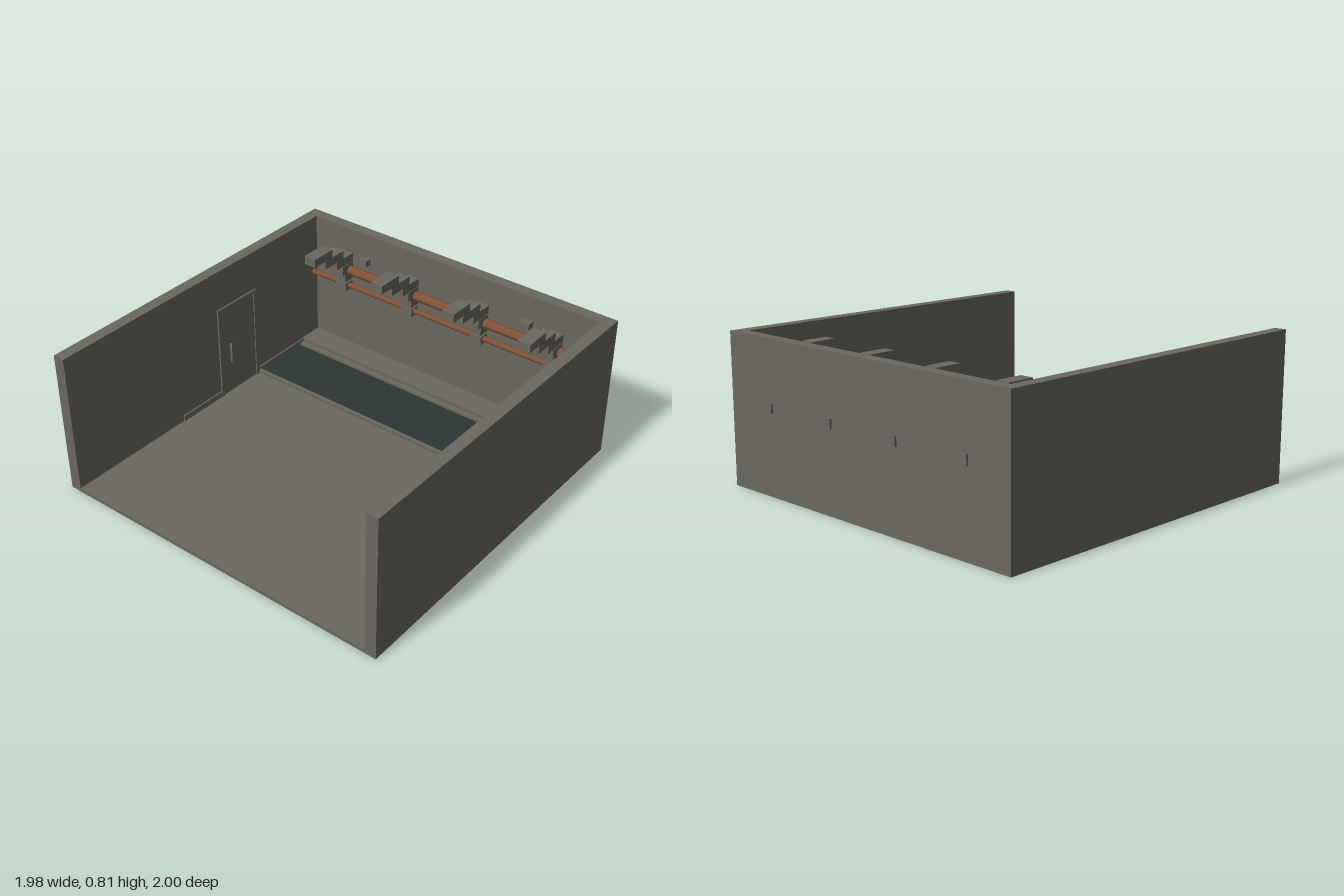
import * as THREE from 'three';

export function createModel() {
  const model = new THREE.Group();
  const mat = (name, color) => {
    const m = new THREE.MeshStandardMaterial({ color });
    m.name = name;
    return m;
  };
  const stone = mat('stone', 0x6b685f);
  const copper = mat('copper', 0x7f5238);
  const water = mat('darkWater', 0x2b3635);

  // Box given by its extents on each axis
  const box = (name, [x0, x1], [y0, y1], [z0, z1], material = stone, parent = model) => {
    const mesh = new THREE.Mesh(new THREE.BoxGeometry(x1 - x0, y1 - y0, z1 - z0), material);
    mesh.position.set((x0 + x1) / 2, (y0 + y1) / 2, (z0 + z1) / 2);
    mesh.name = name;
    parent.add(mesh);
    return mesh;
  };
  // The same box on the left (+1) or right (-1) side
  const sideBox = (name, side, [a, b], y, z, parent) =>
    box(name, side > 0 ? [a, b] : [-b, -a], y, z, stone, parent);

  // Shell: floor, back wall and two side walls
  const inner = 0.925;
  box('floor', [-inner, inner], [0, 0.02], [-inner, 1]);
  box('backWall', [-0.99, 0.99], [0, 0.81], [-0.99, -inner]);
  for (const side of [1, -1]) {
    sideBox(side > 0 ? 'leftWall' : 'rightWall', side, [inner, 0.99], [0, 0.81], [-inner, 1]);
  }

  // Water channel with curbs and a ledge behind it
  box('channelWater', [-inner, inner], [0.02, 0.027], [-0.75, -0.4], water);
  box('frontCurb', [-inner, inner], [0.02, 0.04], [-0.4, -0.38]);
  box('rearCurb', [-inner, inner], [0.02, 0.04], [-0.78, -0.75]);
  box('rearLedge', [-inner, inner], [0.02, 0.06], [-inner, -0.78]);

  // Side doors with frame, handle and skirting
  for (const side of [1, -1]) {
    const [z0, z1] = side > 0 ? [-0.5, -0.2] : [-0.38, -0.07];
    const handleZ = side > 0 ? -0.275 : -0.16;
    const door = new THREE.Group();
    door.name = side > 0 ? 'leftDoor' : 'rightDoor';
    model.add(door);
    sideBox('doorPanel', side, [0.921, inner], [0.02, 0.56], [z0 + 0.02, z1 - 0.02], door);
    sideBox('doorPost', side, [0.915, inner], [0.02, 0.58], [z0, z0 + 0.02], door);
    sideBox('doorPost', side, [0.915, inner], [0.02, 0.58], [z1 - 0.02, z1], door);
    sideBox('doorLintel', side, [0.915, inner], [0.56, 0.58], [z0 + 0.02, z1 - 0.02], door);
    sideBox('doorHandle', side, [0.907, 0.921], [0.21, 0.33], [handleZ - 0.005, handleZ + 0.005], door);
    sideBox('skirting', side, [0.917, inner], [0.02, 0.055], [z1, 0.235]);
    sideBox('skirting', side, [0.917, inner], [0.02, 0.055], [-0.78, z0]);
  }

  // Copper pipes along the back wall
  for (const [name, radius, y, z] of [['upperPipe', 0.028, 0.56, -0.9], ['lowerPipe', 0.016, 0.465, -0.895]]) {
    const geometry = new THREE.CylinderGeometry(radius, radius, 2 * inner, 8).toNonIndexed();
    geometry.computeVertexNormals();
    const pipe = new THREE.Mesh(geometry, copper);
    pipe.rotation.z = Math.PI / 2;
    pipe.position.set(0, y, z);
    pipe.name = name;
    model.add(pipe);
  }

  // Stepped arms that pass through the wall and climb forward
  const steps = [
    [0.435, 0.487, -1, -0.865],
    [0.497, 0.55, -0.98, -0.86],
    [0.55, 0.607, -0.96, -0.835],
    [0.61, 0.66, -0.94, -0.78],
    [0.66, 0.71, -0.84, -0.68],
    [0.71, 0.76, -0.74, -0.59],
  ];
  for (const x of [-0.697, -0.235, 0.228, 0.69]) {
    const arm = new THREE.Group();
    arm.name = 'steppedArm';
    model.add(arm);
    for (const [y0, y1, z0, z1] of steps) {
      box('armBlock', [x - 0.037, x + 0.037], [y0, y1], [z0, z1], stone, arm);
    }
  }

  // Small blocks on the back wall
  for (const x of [-0.56, 0.515]) {
    box('wallBlock', [x - 0.028, x + 0.028], [0.63, 0.666], [-inner, -0.88]);
  }
  return model;
}
